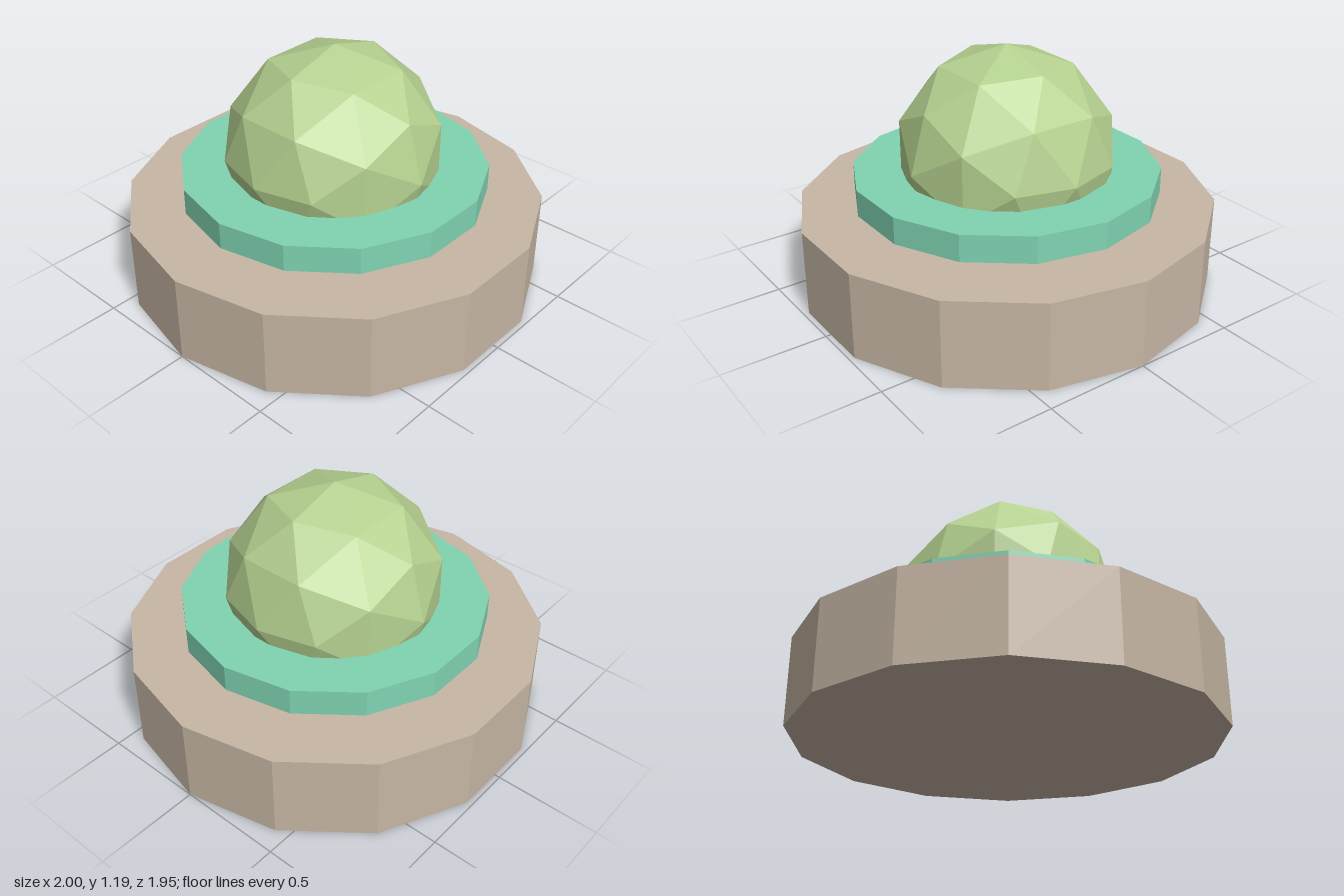
import * as THREE from 'three';

const SIDES = 14;

function flatMaterial(name, color) {
  const m = new THREE.MeshStandardMaterial({ color, flatShading: true });
  m.name = name;
  return m;
}

// Low-poly disc standing between two heights, with corners on the x axis
function disc(name, radius, bottom, top, material) {
  const geometry = new THREE.CylinderGeometry(radius, radius, top - bottom, SIDES);
  geometry.rotateY(Math.PI / 2);
  const mesh = new THREE.Mesh(geometry, material);
  mesh.name = name;
  mesh.position.y = (bottom + top) / 2;
  return mesh;
}

export function createModel() {
  const model = new THREE.Group();
  model.name = 'domedPedestal';

  const stone = flatMaterial('warm stone', 0xc6b6a4);
  const teal = flatMaterial('soft teal', 0x80d3b2);
  const green = flatMaterial('leaf green', 0xb5d190);

  // Heavy base and the thin collar floating just above it
  model.add(disc('base', 1, 0, 0.42, stone));
  model.add(disc('collar', 0.737, 0.453, 0.583, teal));

  // Faceted ball sunk through the collar into the base
  const ball = new THREE.Mesh(new THREE.IcosahedronGeometry(0.526, 1), green);
  ball.name = 'ball';
  ball.position.y = 0.66;
  model.add(ball);

  return model;
}
